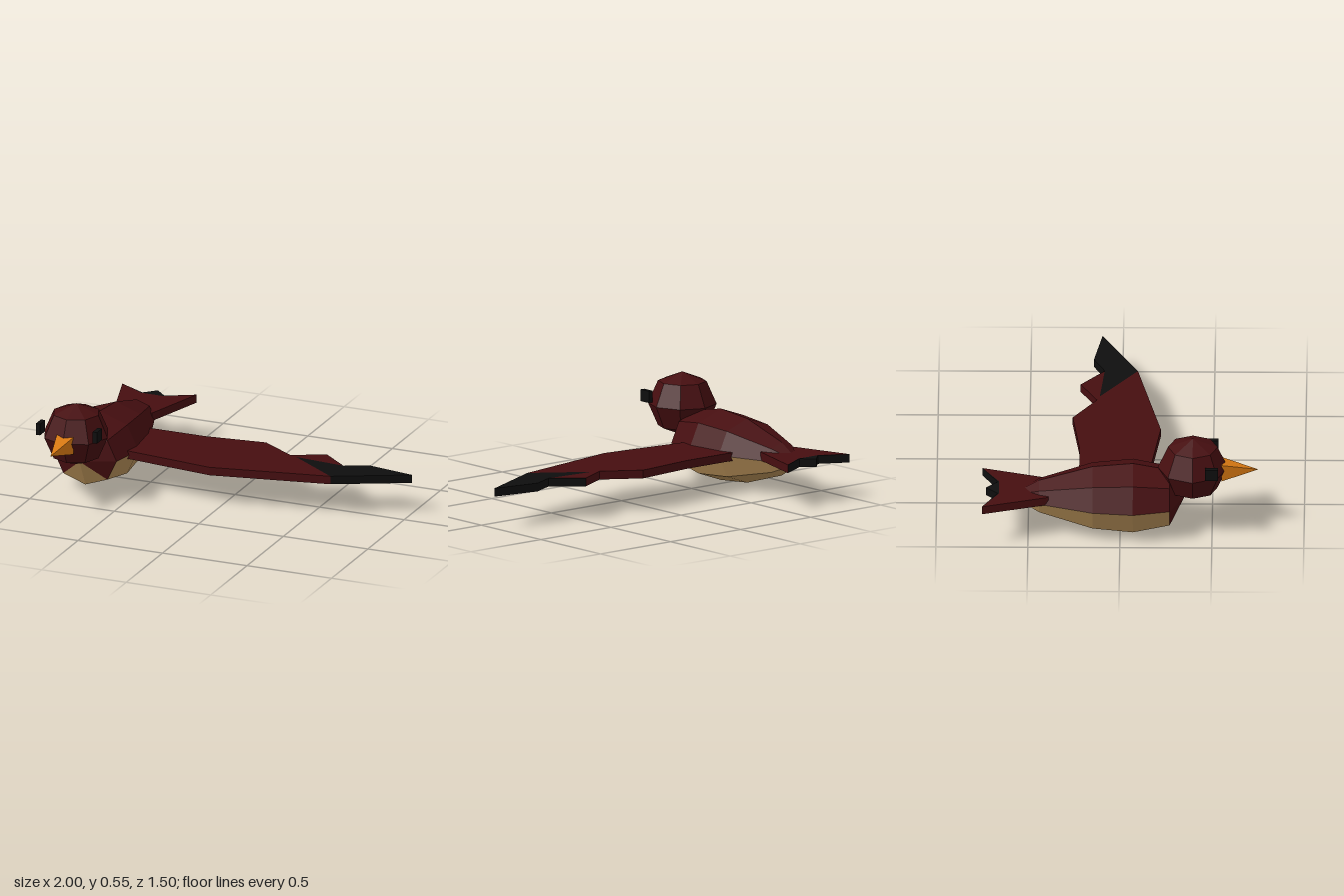
import * as THREE from 'three';

const red = new THREE.MeshStandardMaterial({ color: 0x460e10 });
red.name = 'dark red plumage';
const tan = new THREE.MeshStandardMaterial({ color: 0xb48d56 });
tan.name = 'tan belly';
const black = new THREE.MeshStandardMaterial({ color: 0x0e0e0e });
black.name = 'black tips';
const orange = new THREE.MeshStandardMaterial({ color: 0xd87812 });
orange.name = 'orange beak';

const CX = -0.77; // the body's centre line

export function createModel() {
  const bird = new THREE.Group();
  bird.name = 'bird';

  // Adds a mesh with hard facets
  function add(name, geometry, material, x = 0, y = 0, z = 0) {
    const g = geometry.index ? geometry.toNonIndexed() : geometry;
    g.computeVertexNormals();
    const mesh = new THREE.Mesh(g, material);
    mesh.name = name;
    mesh.position.set(x, y, z);
    bird.add(mesh);
    return mesh;
  }

  // Part of a turned body along z; angle 0 is the underside
  function hull(name, profile, start, segments, material) {
    const points = profile.map(([r, z]) => new THREE.Vector2(r, z));
    const g = new THREE.LatheGeometry(points, segments, start, segments * Math.PI / 4);
    g.rotateX(Math.PI / 2).scale(1.15, 1, 1);
    add(name, g, material, CX, 0.2, 0);
  }

  // Flat slab from an outline of [x, z] points
  function slab(name, outline, bottom, material, x = 0) {
    const shape = new THREE.Shape(outline.map(([px, pz]) => new THREE.Vector2(px, -pz)));
    const g = new THREE.ExtrudeGeometry(shape, { depth: 0.046, bevelEnabled: false });
    add(name, g.rotateX(-Math.PI / 2), material, x, bottom, 0);
  }

  // Body: red back, tan belly and a breast whose lower wedge is tan
  const body = [[0, -0.595], [0.092, -0.44], [0.178, -0.15], [0.198, 0.07], [0.16, 0.27]];
  const breast = [[0.16, 0.27], [0, 0.352]];
  hull('back', body, Math.PI / 2, 4, red);
  hull('belly', body, -Math.PI / 2, 4, tan);
  hull('breast', breast, Math.PI / 4, 6, red);
  hull('lowerBreast', breast, -Math.PI / 4, 2, tan);

  // Head
  const head = new THREE.SphereGeometry(0.185, 8, 4).scale(1, 0.95, 1.03);
  add('head', head, red, CX, 0.377, 0.395);
  for (const side of [-1, 1]) {
    add(side > 0 ? 'leftEye' : 'rightEye', new THREE.BoxGeometry(0.025, 0.065, 0.07),
      black, CX + side * 0.168, 0.423, 0.497);
  }
  const beak = new THREE.ConeGeometry(0.07, 0.2, 4).rotateY(Math.PI / 4).rotateX(Math.PI / 2);
  add('beak', beak, orange, CX, 0.365, 0.65);

  // Single spread wing with a black tip and black feather edge
  slab('wing', [
    [-0.64, -0.225], [-0.275, -0.225], [0.07, -0.265], [0.27, -0.135], [0.445, -0.225],
    [0.592, -0.096], [0.31, -0.12], [0.6, 0.085], [-0.06, 0.215], [-0.64, 0.145],
  ], 0.178, red);
  slab('wingTip', [
    [0.31, -0.12], [0.592, -0.096], [0.445, -0.225], [0.6, -0.095],
    [0.73, -0.155], [1, -0.11], [0.6, 0.085],
  ], 0.178, black);

  // Forked tail with black trailing edge
  slab('tail', [
    [-0.11, -0.39], [-0.12, -0.42], [-0.22, -0.75], [-0.07, -0.659],
    [0.07, -0.659], [0.22, -0.75], [0.12, -0.42], [0.11, -0.39],
  ], 0.2, red, CX);
  slab('tailEdge', [
    [-0.22, -0.75], [-0.065, -0.666], [0, -0.73], [0.065, -0.666],
    [0.22, -0.75], [0.07, -0.659], [-0.07, -0.659],
  ], 0.2, black, CX);

  return bird;
}
